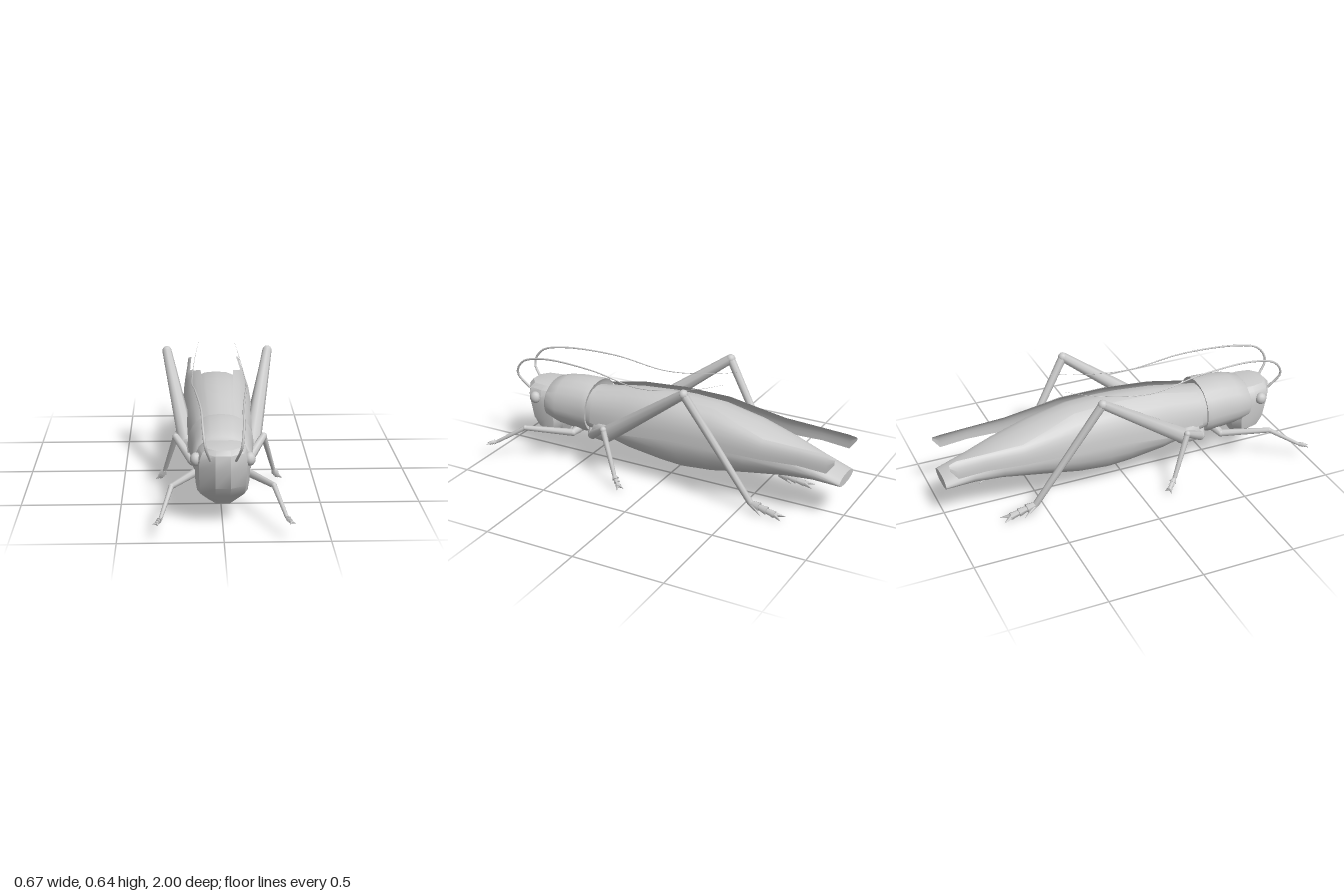
import * as THREE from 'three';
import { toCreasedNormals } from 'three/addons/utils/BufferGeometryUtils.js';

const V = (x, y, z) => new THREE.Vector3(x, y, z);
const grey = new THREE.MeshStandardMaterial({ color: 0xcccccc });
const thin = new THREE.MeshStandardMaterial({ color: 0xcccccc, side: THREE.DoubleSide });

function mesh(name, geometry, material = grey) {
  const m = new THREE.Mesh(geometry, material);
  m.name = name;
  return m;
}

// Skin a list of cross-sections; closed sections get end caps
function loft(rings, closed = true, crease = 0.75) {
  const n = rings[0].length, pos = [], idx = [];
  rings.forEach(r => r.forEach(p => pos.push(p.x, p.y, p.z)));
  for (let i = 0; i < rings.length - 1; i++)
    for (let j = 0; j < (closed ? n : n - 1); j++) {
      const k = (j + 1) % n, a = i * n, b = a + n;
      idx.push(a + j, b + j, a + k, a + k, b + j, b + k);
    }
  if (closed) [0, rings.length - 1].forEach(i => {
    const c = rings[i].reduce((s, p) => s.add(p), V(0, 0, 0)).divideScalar(n);
    const ci = pos.length / 3;
    pos.push(c.x, c.y, c.z);
    for (let j = 0; j < n; j++) {
      const k = (j + 1) % n;
      idx.push(ci, i * n + (i ? k : j), i * n + (i ? j : k));
    }
  });
  const g = new THREE.BufferGeometry();
  g.setAttribute('position', new THREE.Float32BufferAttribute(pos, 3));
  g.setIndex(idx);
  g.computeVertexNormals();
  return toCreasedNormals(g, crease);
}

// Rounded body section: half width, bottom, widest height, top
function section([z, w, bottom, mid, top], n = 20) {
  return Array.from({ length: n }, (_, j) => {
    const a = j / n * Math.PI * 2, s = Math.sin(a), c = Math.cos(a);
    const x = Math.sign(c) * Math.abs(c) ** 0.88 * w;
    return V(x, mid + (s > 0 ? s ** 0.88 * (top - mid) : s * (mid - bottom)), z);
  });
}

// Tapered rod between two points
function rod(name, a, b, ra, rb, sides = 8) {
  const d = b.clone().sub(a);
  const m = mesh(name, new THREE.CylinderGeometry(rb, ra, d.length(), sides));
  m.position.copy(a).addScaledVector(d, 0.5);
  m.quaternion.setFromUnitVectors(V(0, 1, 0), d.normalize());
  return m;
}

function ball(name, p, r, sy = 1, sz = 1) {
  const m = mesh(name, new THREE.SphereGeometry(r, 12, 8));
  m.position.copy(p);
  m.scale.set(1, sy, sz);
  return m;
}

// Flared foot segments ending in two claws
function foot(a, b, r) {
  const g = new THREE.Group();
  g.name = 'foot';
  const at = t => a.clone().lerp(b, t);
  for (let i = 0; i < 3; i++)
    g.add(rod('footSegment', at(i * 0.24), at(i * 0.24 + 0.27), r * 0.55, r * (1 - i * 0.12), 6));
  const across = b.clone().sub(a).cross(V(0, 1, 0)).normalize().multiplyScalar(r * 1.1);
  for (const s of [-1, 1])
    g.add(rod('claw', at(0.7), b.clone().addScaledVector(across, s), r * 0.6, 0.001, 5));
  return g;
}

// Leg through hip, knee, ankle and toe
function leg(name, body, hip, knee, ankle, toe, [rHip, rKnee, rAnkle, rFoot]) {
  const g = new THREE.Group();
  g.name = name;
  g.add(rod('hipJoint', body, hip, rHip * 1.5, rHip),
    ball('hipBall', hip, rHip),
    rod('thigh', hip, knee, rHip, rKnee),
    ball('knee', knee, rKnee),
    rod('shin', knee, ankle, rKnee * 0.9, rAnkle),
    foot(ankle, toe, rFoot));
  return g;
}

// Feeler: a tube that thins towards its tip
function antenna(s) {
  const path = [[.06, .355, .865], [.085, .44, .925], [.095, .52, .88], [.10, .562, .74], [.125, .568, .42],
    [.14, .53, .11], [.12, .58, -.2], [.10, .628, -.35]];
  const curve = new THREE.CatmullRomCurve3(path.map(([x, y, z]) => V(x * s, y, z)));
  const seg = 48, sides = 6, g = new THREE.TubeGeometry(curve, seg, 0.009, sides);
  const p = g.attributes.position, v = V(0, 0, 0);
  for (let i = 0; i < p.count; i++) {
    const t = Math.floor(i / (sides + 1)) / seg;
    v.fromBufferAttribute(p, i).lerp(curve.getPointAt(t), Math.min(0.95, 0.25 + t * 0.7));
    p.setXYZ(i, v.x, v.y, v.z);
  }
  return mesh('antenna', g);
}

// Wing cover: curved sheet from an upper to a lower edge
function wing(s) {
  const rows = [[.42, .07, .43, .15, .27], [.2, .07, .475, .175, .255], [-.05, .08, .49, .184, .285],
    [-.3, .09, .482, .185, .295], [-.45, .12, .44, .182, .30], [-.6, .145, .402, .176, .30],
    [-.8, .14, .395, .166, .31], [-.95, .135, .39, .16, .30], [-.99, .142, .38, .156, .355]];
  const rings = rows.map(([z, xt, yt, xb, yb]) => {
    const c = new THREE.QuadraticBezierCurve3(V(s * xt, yt, z),
      V(s * (xb + 0.004), yt * 0.8 + yb * 0.2, z), V(s * xb, yb, z));
    return c.getPoints(6);
  });
  return mesh('wing', loft(rings, false), thin);
}

export function createModel() {
  const model = new THREE.Group();
  model.name = 'grasshopper';

  // Abdomen
  model.add(mesh('abdomen', loft([
    [.5, .12, .20, .28, .42], [.4, .145, .18, .27, .43], [.2, .163, .13, .26, .465], [0, .175, .10, .27, .48],
    [-.12, .178, .09, .275, .481], [-.28, .178, .105, .28, .472], [-.5, .17, .15, .28, .42],
    [-.7, .135, .18, .265, .36], [-.85, .11, .19, .245, .30], [-1, .095, .19, .215, .245],
  ].map(r => section(r)))));

  // Saddle-shaped shield behind the head
  model.add(mesh('shield', loft([
    [.735, .125, .215, .3, .40], [.715, .143, .195, .3, .425], [.65, .15, .18, .3, .445], [.56, .154, .17, .3, .458],
    [.48, .16, .165, .3, .46], [.445, .166, .175, .3, .456], [.46, .14, .19, .3, .43],
  ].map(r => section(r)))));

  // Head: stacked outlines with a flat face strip
  const outline = ([y, w, f, zf, zb]) => {
    const m = zf * 0.45 + zb * 0.55, k = zf - (zf - m) * 0.35;
    const half = [[w, m], [w * 0.8 + f * 0.2, k], [f, zf]];
    const back = [[w * 0.6, zb], [w * 0.95, zb + (m - zb) * 0.45]];
    return [...half, ...half.slice().reverse().map(([x, z]) => [-x, z]),
      [-back[1][0], back[1][1]], [-back[0][0], zb], ...back].map(([x, z]) => V(x, y, z));
  };
  model.add(mesh('head', loft([
    [.10, .04, .034, .755, .67], [.125, .08, .036, .775, .66], [.16, .122, .036, .81, .65], [.21, .13, .036, .85, .63],
    [.30, .133, .036, .872, .63], [.345, .130, .036, .88, .64], [.38, .115, .036, .875, .65],
    [.402, .09, .034, .855, .66], [.41, .05, .025, .82, .68],
  ].map(outline), true, 0.5)));

  for (const s of [1, -1]) {
    const P = (x, y, z) => V(s * x, y, z);
    model.add(ball('eye', P(.128, .337, .785), .028, 1.2, 1.1), antenna(s), wing(s));
    model.add(leg('frontLeg', P(.07, .20, .52), P(.135, .18, .54), P(.245, .20, .78), P(.295, .10, .94),
      P(.32, .087, .99), [.02, .014, .009, .014]));
    model.add(leg('middleLeg', P(.08, .20, .43), P(.14, .20, .41), P(.225, .288, .29), P(.285, .07, .19),
      P(.315, .01, .14), [.026, .018, .011, .02]));
    model.add(leg('hindLeg', P(.11, .23, .36), P(.165, .245, .29), P(.272, .615, -.215), P(.185, .05, -.56),
      P(.20, .012, -.75), [.045, .025, .017, .026]));
    // Spurs at the hind ankle
    for (const dx of [-.025, .045])
      model.add(rod('spur', P(.185, .045, -.56), P(.19 + dx, .015, -.64), .014, .001, 5));
  }
  return model;
}
